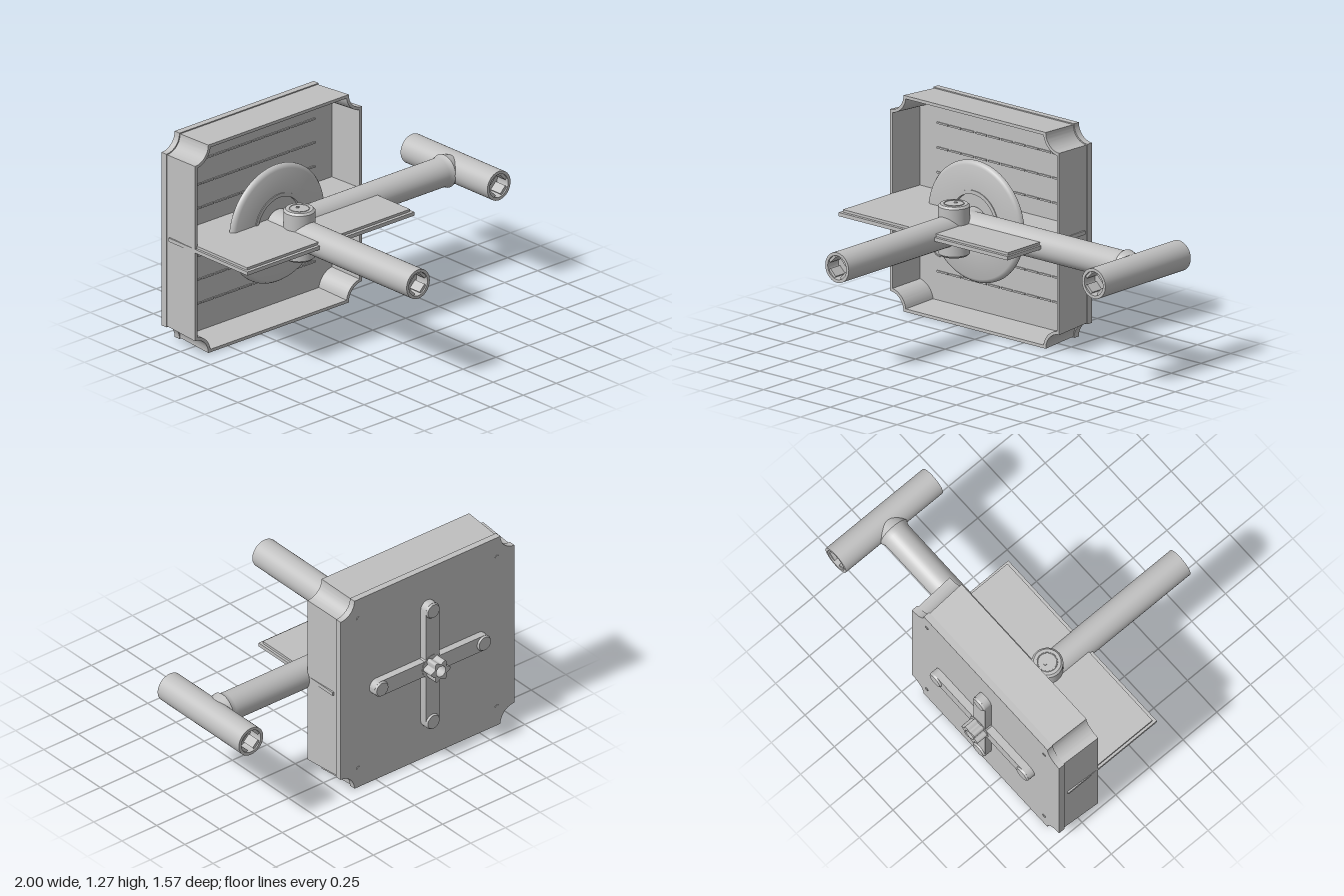
import * as THREE from 'three';
import { toCreasedNormals } from 'three/addons/utils/BufferGeometryUtils.js';

const CX = -0.367, CY = 0.633, HALF = 0.627; // centre and half size of the housing
const R = 0.088; // pipe radius

export function createModel() {
  const model = new THREE.Group();
  const grey = new THREE.MeshStandardMaterial({ color: 0xc0c0c0 });
  grey.name = 'light grey';

  const add = (name, geo, x = 0, y = 0, z = 0, parent = model) => {
    const mesh = new THREE.Mesh(toCreasedNormals(geo, 0.6), grey);
    mesh.name = name;
    mesh.position.set(x, y, z);
    parent.add(mesh);
    return mesh;
  };
  const lathe = (pts, seg = 40) => new THREE.LatheGeometry(pts.map(p => new THREE.Vector2(...p)), seg);
  const extrude = (shape, depth) =>
    new THREE.ExtrudeGeometry(shape, { depth, bevelEnabled: false, curveSegments: 10 });

  // Square outline with concave round notches, inset by t
  const outline = (t, Type = THREE.Shape) => {
    const s = new Type(), r = 0.1 + t, a = Math.asin(t / r);
    for (let k = 0; k < 4; k++) {
      const q = k * Math.PI / 2;
      const c = new THREE.Vector2(HALF, HALF).rotateAround(new THREE.Vector2(), q);
      s.absarc(c.x, c.y, r, q - Math.PI / 2 - a, q - Math.PI + a, true);
    }
    s.closePath();
    return s;
  };

  // Housing walls, flaring slightly to the open front
  const wallShape = outline(0);
  wallShape.holes.push(outline(0.018, THREE.Path));
  const walls = extrude(wallShape, 0.245);
  const p = walls.attributes.position;
  for (let i = 0; i < p.count; i++) {
    const s = 0.99 + 0.02 * p.getZ(i) / 0.245;
    p.setXY(i, p.getX(i) * s, p.getY(i) * s);
  }
  add('housingWalls', walls, CX, CY, -0.625);
  add('housingFloor', extrude(outline(0.012), 0.025), CX, CY, -0.625);
  add('backLid', extrude(outline(0), 0.04), CX, CY, -0.665);

  // Rows of short ribs on the floor
  const rib = new THREE.BoxGeometry(0.083, 0.01, 0.008);
  for (const row of [-3, -2, -1, 1, 2, 3])
    for (let i = 0; i < 10; i++)
      add('floorRib', rib, CX + (i - 4.5) * 0.096, CY + row * 0.145, -0.597);
  add('floorRing', new THREE.TorusGeometry(0.036, 0.005, 8, 32), -0.83, 0.325, -0.6);

  // Shelf: stepped top plate over a rim frame
  const rect = (x0, x1, z0, z1, Type) => {
    const s = new Type();
    s.moveTo(x0, z0); s.lineTo(x1, z0); s.lineTo(x1, z1); s.lineTo(x0, z1); s.closePath();
    return s;
  };
  const frame = rect(-1, 0.266, -0.055, 0.6, THREE.Shape);
  frame.holes.push(rect(-0.93, 0.196, 0.015, 0.33, THREE.Path));
  add('shelfRim', extrude(frame, 0.022).rotateX(-Math.PI / 2), 0, 0.638, 0);
  const plate = rect(-0.985, 0.251, -0.035, 0.6, THREE.Shape);
  add('shelfTop', extrude(plate, 0.02).rotateX(-Math.PI / 2), 0, 0.655, 0);

  // Rounded ring disc with a thin raised collar
  const discProfile = [[0.165, 0], [0.345, 0], [0.355, 0.01], [0.354, 0.02], [0.345, 0.033],
    [0.33, 0.04], [0.165, 0.04], [0.165, 0]];
  add('disc', lathe(discProfile, 64).rotateX(Math.PI / 2), CX, CY, -0.412);
  const collar = [[0.165, 0], [0.187, 0], [0.187, 0.005], [0.165, 0.005], [0.165, 0]];
  add('discCollar', lathe(collar, 48).rotateX(Math.PI / 2), CX, CY, -0.372);
  add('discHub', new THREE.CylinderGeometry(0.168, 0.168, 0.02, 48).rotateX(Math.PI / 2), CX, CY, -0.402);
  add('shaft', new THREE.CylinderGeometry(0.06, 0.06, 0.28, 32).rotateX(Math.PI / 2), CX, CY, -0.52);

  // Pipes with sockets at their open ends
  const D = 0.09, RI = 0.07;
  const top = L => [[R, L], [RI, L], [RI, L - D], [0, L - D]];
  const bottom = [[0, D], [RI, D], [RI, 0], [R, 0]];
  const tabs = (x, z) => {
    for (let i = 0; i < 4; i++) {
      const tab = new THREE.BoxGeometry(0.055, 0.016, 0.08).translate(0, 0.06, 0)
        .rotateZ(i * Math.PI / 2 + Math.PI / 4);
      add('socketTab', tab, x, CY, z);
    }
  };
  const frontLen = 1.165;
  add('frontPipe', lathe([[0, 0], [R, 0], ...top(frontLen)]).rotateX(Math.PI / 2), CX, CY, 0.78 - frontLen);
  tabs(CX, 0.732);
  add('endPipe', lathe([...bottom, ...top(0.72)]).rotateX(Math.PI / 2), 0.908, CY, -0.667);
  tabs(0.908, 0.005);
  tabs(0.908, -0.619);
  const side = [[0, 0], [R - 0.002, 0], [R - 0.002, 1.155], [0.09, 1.175], [0.098, 1.19], [0.08, 1.25], [0, 1.25]];
  add('sidePipe', lathe(side).rotateZ(-Math.PI / 2), CX, CY, -0.31);

  // Upright barrel at the joint
  const barrel = [[0, -0.15], [0.078, -0.15], [0.09, -0.138], [0.09, 0.138], [0.078, 0.15], [0, 0.15]];
  add('barrel', lathe(barrel), CX, CY, -0.207);
  add('barrelRing', new THREE.TorusGeometry(0.056, 0.003, 6, 32).rotateX(Math.PI / 2), CX, CY + 0.15, -0.207);
  add('barrelPin', new THREE.CylinderGeometry(0.01, 0.01, 0.006, 16), CX, CY + 0.152, -0.222);

  // Cross bars on the back with round end bosses
  const half = 0.37, w = 0.049;
  const bar = new THREE.Shape();
  bar.absarc(half, 0, w, -Math.PI / 2, Math.PI / 2);
  bar.absarc(-half, 0, w, Math.PI / 2, Math.PI * 1.5);
  bar.closePath();
  for (let i = 0; i < 2; i++)
    add('crossBar', extrude(bar, 0.045).rotateZ(i * Math.PI / 2), CX, CY, -0.71);
  for (let i = 0; i < 4; i++) {
    const a = i * Math.PI / 2;
    add('barBoss', new THREE.CylinderGeometry(0.049, 0.042, 0.012, 28).rotateX(Math.PI / 2),
      CX + Math.cos(a) * half, CY + Math.sin(a) * half, -0.715);
  }

  // Lobed knob
  const knob = new THREE.Shape();
  for (let i = 0; i < 72; i++) {
    const a = i / 72 * Math.PI * 2, r = 0.058 + 0.011 * Math.cos(6 * a);
    knob[i ? 'lineTo' : 'moveTo'](r * Math.cos(a), r * Math.sin(a));
  }
  knob.closePath();
  knob.holes.push(new THREE.Path().absarc(0, 0, 0.034, 0, Math.PI * 2, true));
  add('knob', extrude(knob, 0.085), CX, CY, -0.785);
  add('knobBase', new THREE.CylinderGeometry(0.075, 0.075, 0.045, 32).rotateX(Math.PI / 2), CX, CY, -0.69);

  // Lid screws
  for (const sx of [-1, 1])
    for (const sy of [-1, 1])
      add('lidScrew', new THREE.CylinderGeometry(0.012, 0.012, 0.006, 16).rotateX(Math.PI / 2),
        CX + sx * 0.5, CY + sy * 0.5, -0.666);

  return model;
}
